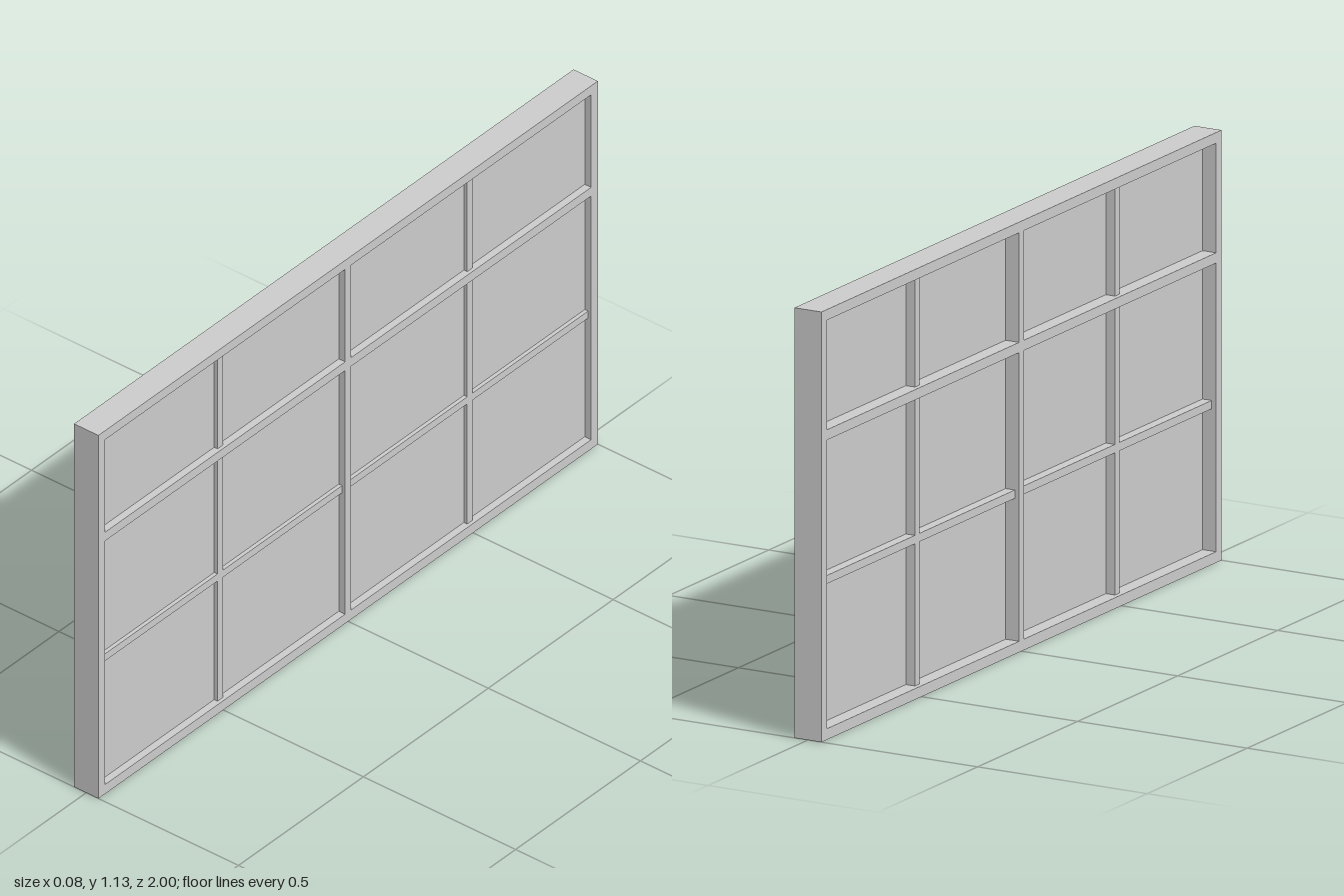
import * as THREE from 'three';

const H = 1.134, DEPTH = 0.08;
const material = new THREE.MeshStandardMaterial({ color: 0xcccccc, flatShading: true });

// Box given by its limits on each axis
function block(name, [x0, x1], [y0, y1], [z0, z1]) {
  const mesh = new THREE.Mesh(new THREE.BoxGeometry(x1 - x0, y1 - y0, z1 - z0), material);
  mesh.position.set((x0 + x1) / 2, (y0 + y1) / 2, (z0 + z1) / 2);
  mesh.name = name;
  return mesh;
}

// Adds a rectangular outline to a path
function rect(path, x0, y0, x1, y1) {
  path.moveTo(x0, y0);
  path.lineTo(x1, y0);
  path.lineTo(x1, y1);
  path.lineTo(x0, y1);
  path.closePath();
  return path;
}

export function createModel() {
  const group = new THREE.Group();
  group.name = 'window';

  const rows = [[0.029, 0.79], [0.817, 1.106]]; // openings below and above the transom
  const inner = 0.012, outer = 0.973;           // opening limits either side of the mullion

  // Outer frame, central mullion and transom as one flush piece with four openings
  const outline = rect(new THREE.Shape(), -1, 0, 1, H);
  for (const [y0, y1] of rows) {
    outline.holes.push(rect(new THREE.Path(), inner, y0, outer, y1));
    outline.holes.push(rect(new THREE.Path(), -outer, y0, -inner, y1));
  }
  const frameGeometry = new THREE.ExtrudeGeometry(outline, { depth: DEPTH, bevelEnabled: false });
  frameGeometry.translate(0, 0, -DEPTH / 2).rotateY(Math.PI / 2);
  const frame = new THREE.Mesh(frameGeometry, material);
  frame.name = 'frame';
  group.add(frame);

  const barX = [-0.027, 0.03], paneX = [0, 0.019];
  const barY = [0.404, 0.426];
  for (const side of [-1, 1]) {
    const span = (a, b) => (side > 0 ? [a, b] : [-b, -a]);
    const label = side > 0 ? 'front' : 'back';

    // Glass, set closer to the +x face
    rows.forEach((row, i) => {
      group.add(block(`${label}${i ? 'Upper' : 'Lower'}Pane`, paneX, row, span(inner, outer)));
    });

    // Slim glazing bars, set back from both faces
    group.add(block(`${label}HorizontalBar`, barX, barY, span(inner, outer)));
    const uprights = [[rows[0][0], barY[0]], [barY[1], rows[0][1]], rows[1]];
    uprights.forEach((y, i) => {
      group.add(block(`${label}VerticalBar${i + 1}`, barX, y, span(0.489, 0.511)));
    });
  }
  return group;
}
